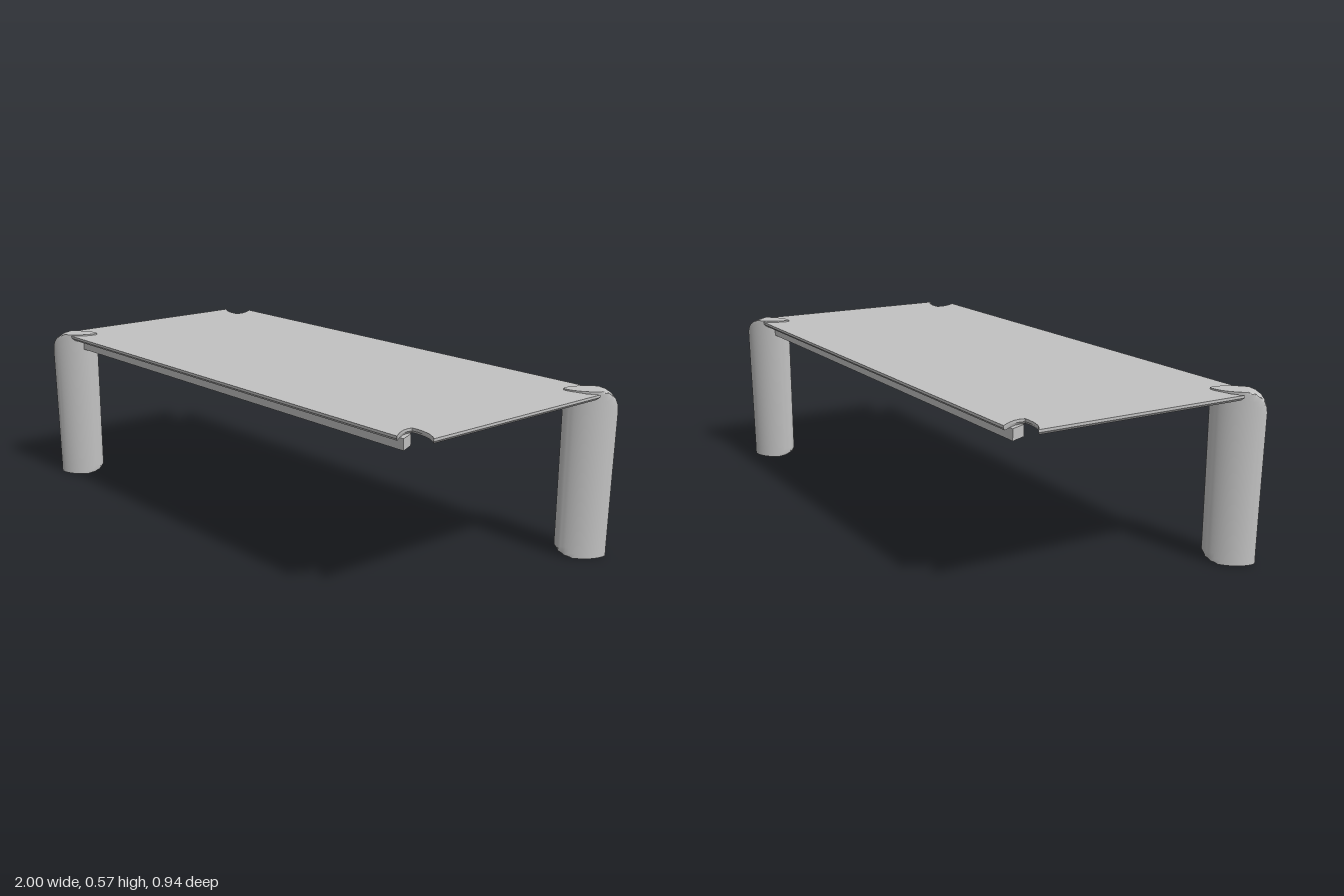
import * as THREE from 'three';
import { toCreasedNormals } from 'three/addons/utils/BufferGeometryUtils.js';

const grey = new THREE.MeshStandardMaterial({ color: 0xc2c2c2 });
grey.name = 'light grey';

// Leaf-shaped column: x runs outward along the table diagonal, y is up
function legGeometry() {
  // height, inner limit, outer limit, outer tip of the leaf
  const rings = [
    [0, -0.035, 1, 0.083], [0.006, -0.058, 1, 0.083], [0.016, -0.076, 1, 0.083],
    [0.035, -0.088, 1, 0.083], [0.25, -1, 1, 0.086], [0.5, -1, 1, 0.09],
    [0.52, -1, 0.087, 0.09], [0.538, -1, 0.08, 0.09], [0.553, -1, 0.068, 0.09],
    [0.564, -1, 0.051, 0.09], [0.57, -1, 0.03, 0.09],
  ];
  const n = 48, pos = [], idx = [];
  for (const [y, lo, hi, tip] of rings) {
    for (let i = 0; i < n; i++) {
      const a = (i / n) * Math.PI * 2, c = Math.cos(a), s = Math.sin(a);
      const u = c * (c > 0 ? tip : 0.088);
      const limited = Math.min(Math.max(u, lo), hi);
      const t = limited / (c > 0 ? tip : 0.088);
      // clipped points spread evenly along the straight cut
      const v = Math.sign(s) * Math.min(Math.pow(Math.abs(s), 1.35), Math.pow(Math.max(0, 1 - t * t), 0.675)) * 0.042;
      pos.push(limited, y, v);
    }
  }
  for (let r = 0; r < rings.length - 1; r++) {
    for (let i = 0; i < n; i++) {
      const a = r * n + i, b = r * n + (i + 1) % n;
      idx.push(a, a + n, b, b, a + n, b + n);
    }
  }
  const top = (rings.length - 1) * n;
  for (let i = 1; i < n - 1; i++) {
    idx.push(0, i, i + 1);
    idx.push(top, top + i + 1, top + i);
  }
  const g = new THREE.BufferGeometry();
  g.setAttribute('position', new THREE.Float32BufferAttribute(pos, 3));
  g.setIndex(idx);
  return toCreasedNormals(g, 0.6);
}

// Thin sheet with a leaf-shaped cut at each corner and a chamfered underside
function topGeometry() {
  const corner = [[0.99, 0.378], [0.975, 0.366], [0.95, 0.353], [0.92, 0.346], [0.89, 0.344],
    [0.874, 0.346], [0.871, 0.362], [0.874, 0.382], [0.884, 0.405], [0.905, 0.437]];
  const back = [...corner].reverse();
  const outline = [
    ...corner,
    ...back.map(([x, y]) => [-x, y]),
    ...corner.map(([x, y]) => [-x, -y]),
    ...back.map(([x, y]) => [x, -y]),
  ].map(([x, y]) => new THREE.Vector2(x, y));
  const g = new THREE.ExtrudeGeometry(new THREE.Shape(outline), { depth: 0.017, steps: 2, bevelEnabled: false });
  const p = g.attributes.position;
  for (let i = 0; i < p.count; i++) {
    if (p.getZ(i) < 0.001) p.setXY(i, p.getX(i) * 0.992, p.getY(i) * 0.98);
  }
  g.rotateX(-Math.PI / 2).translate(0, 0.548, 0);
  return toCreasedNormals(g, 0.4);
}

// Long rail with slanted ends that follow the corner cuts
function railGeometry() {
  const s = new THREE.Shape([[-0.872, -0.348], [-0.895, -0.4], [0.895, -0.4], [0.872, -0.348]]
    .map(([x, y]) => new THREE.Vector2(x, y)));
  return new THREE.ExtrudeGeometry(s, { depth: 0.036, bevelEnabled: false })
    .rotateX(-Math.PI / 2).translate(0, 0.512, 0);
}

export function createModel() {
  const model = new THREE.Group();
  model.name = 'lowTable';
  const add = (name, geometry) => {
    const m = new THREE.Mesh(geometry, grey);
    m.name = name;
    model.add(m);
    return m;
  };

  add('tableTop', topGeometry());

  const leg = legGeometry(), rail = railGeometry();
  const crossBar = new THREE.BoxGeometry(0.035, 0.026, 0.7);
  for (const s of [1, -1]) {
    // Legs stand on two opposite corners only
    const l = add(s > 0 ? 'backLeftLeg' : 'frontRightLeg', leg);
    l.position.set(s * 0.934, 0, -s * 0.405);
    l.rotation.y = Math.PI / 4 + (s > 0 ? 0 : Math.PI);

    const r = add(s > 0 ? 'frontRail' : 'backRail', rail);
    r.rotation.y = s > 0 ? 0 : Math.PI;

    add(s > 0 ? 'leftCrossBar' : 'rightCrossBar', crossBar).position.set(s * 0.75, 0.528, 0);
  }
  return model;
}
